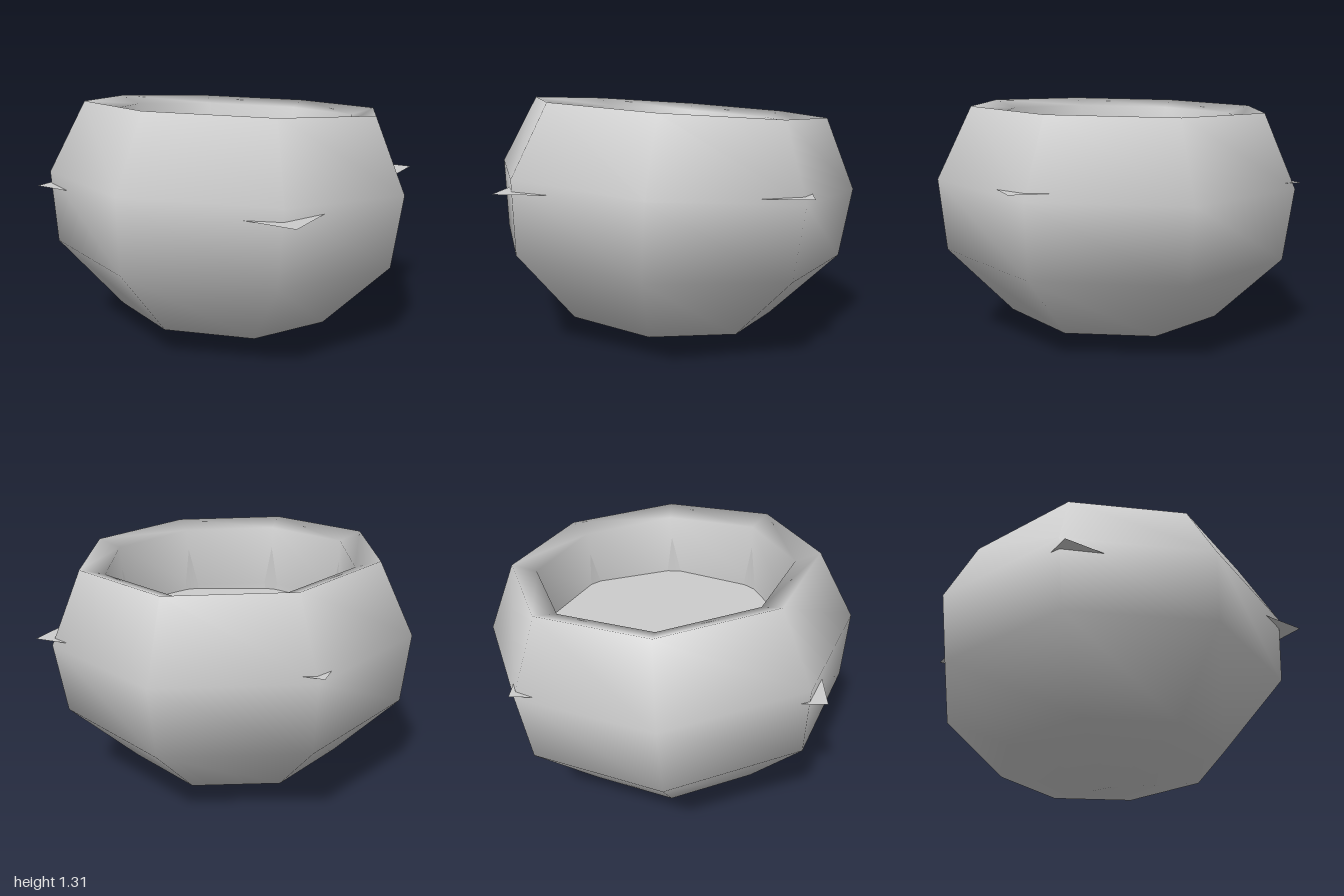
import * as THREE from 'three';

export function createModel() {
  const model = new THREE.Group();
  const grey = new THREE.MeshStandardMaterial({ color: 0xcccccc, side: THREE.DoubleSide });
  grey.name = 'pale grey';

  // Slightly tilted eight-sided bowl resting on its bottom point
  const bowl = new THREE.Group();
  bowl.name = 'bowl';
  bowl.position.set(-0.003, 0, 0.06);
  bowl.rotation.set(-0.068, -0.012, -0.004);
  model.add(bowl);

  // Outer wall, sloping rim, inner wall and floor in one smooth profile
  const profile = [
    [0, 0], [0.61, 0.125], [0.96, 0.5], [1, 0.88], [0.82, 1.257],
    [0.69, 1.215], [0.68, 0.86], [0.61, 0.5], [0.4, 0.27], [0, 0.2],
  ].map(([r, y]) => new THREE.Vector2(r, y));
  const shell = new THREE.Mesh(new THREE.LatheGeometry(profile, 8), grey);
  shell.name = 'bowlShell';
  bowl.add(shell);

  // Inner lining turned half a step, which cuts across the inner corners
  const liningProfile = [[0.75, 1.15], [0.71, 0.8]].map(([r, y]) => new THREE.Vector2(r, y));
  const lining = new THREE.Mesh(new THREE.LatheGeometry(liningProfile, 8, Math.PI / 8), grey);
  lining.name = 'innerLining';
  bowl.add(lining);

  // Level square surface of the contents, its corners passing through the wall
  const surface = new THREE.Mesh(new THREE.PlaneGeometry(1.52, 1.51), grey);
  surface.name = 'liquidSurface';
  surface.rotation.x = -Math.PI / 2;
  surface.position.set(0.03, 0.865, 0.025);
  model.add(surface);

  return model;
}
